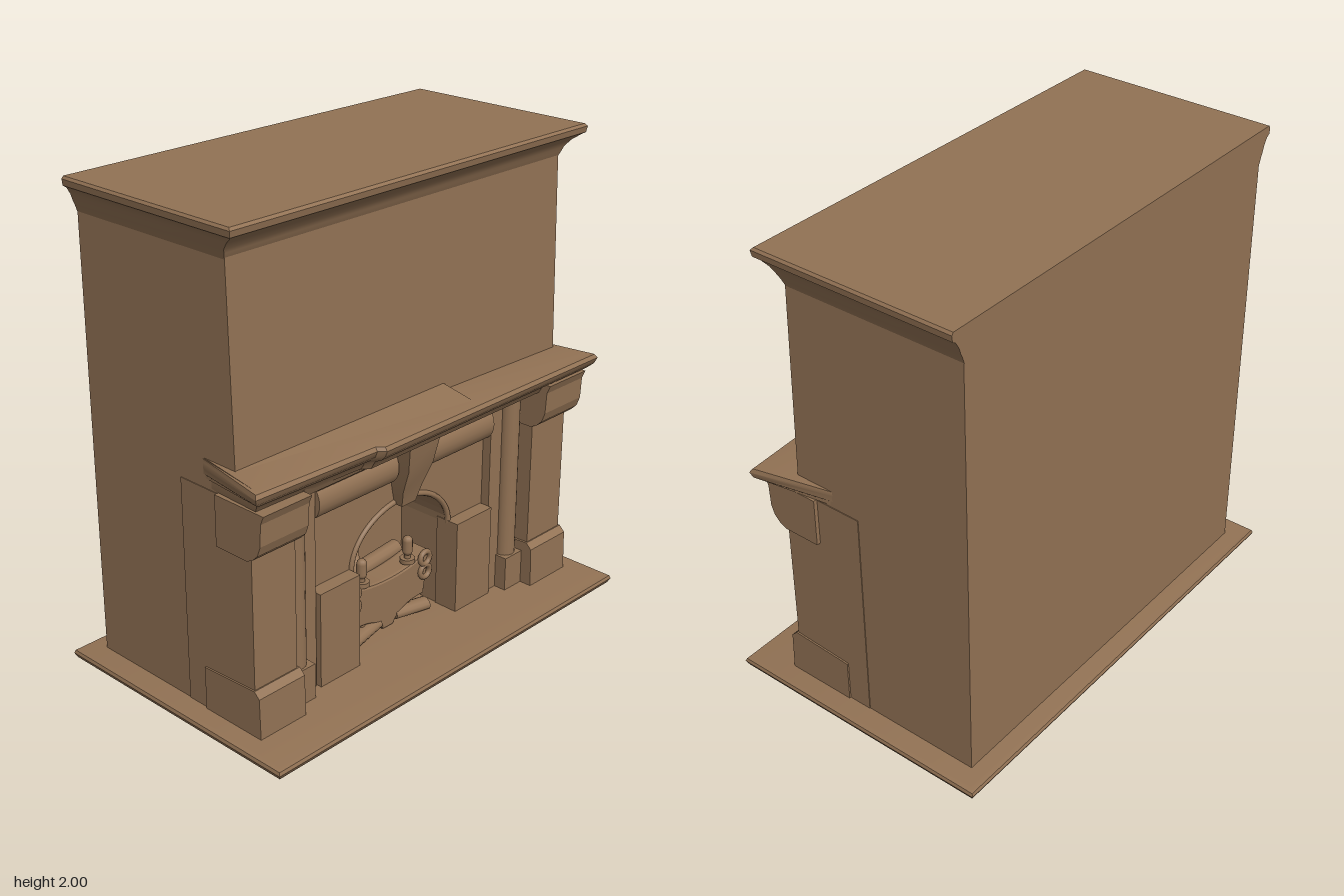
import * as THREE from 'three';
import { toCreasedNormals } from 'three/addons/utils/BufferGeometryUtils.js';

export function createModel() {
  const model = new THREE.Group();
  const stone = new THREE.MeshStandardMaterial({ color: 0x927254 });
  stone.name = 'brown stone';

  const add = (name, geo, x = 0, y = 0, z = 0) => {
    const mesh = new THREE.Mesh(geo, stone);
    mesh.name = name;
    mesh.position.set(x, y, z);
    model.add(mesh);
    return mesh;
  };
  // box given by its limits
  const box = (name, x0, x1, y0, y1, z0, z1) =>
    add(name, new THREE.BoxGeometry(x1 - x0, y1 - y0, z1 - z0), (x0 + x1) / 2, (y0 + y1) / 2, (z0 + z1) / 2);
  // solid from stacked plan outlines (counterclockwise from above), bottom to top
  const loft = (rows) => {
    const n = rows[0].length, pos = rows.flat(2), idx = [];
    for (let r = 0; r < rows.length - 1; r++)
      for (let i = 0; i < n; i++) {
        const a = r * n + i, b = r * n + (i + 1) % n;
        idx.push(a, b, b + n, a, b + n, a + n);
      }
    const t = (rows.length - 1) * n;
    for (let i = 1; i < n - 1; i++) idx.push(0, i + 1, i, t, t + i, t + i + 1);
    const g = new THREE.BufferGeometry();
    g.setAttribute('position', new THREE.Float32BufferAttribute(pos, 3));
    g.setIndex(idx);
    return toCreasedNormals(g, 0.6);
  };
  const rect = (y, x, zb, zf) => [[-x, y, zb], [-x, y, zf], [x, y, zf], [x, y, zb]];
  // side profile of [z, y] points, extruded from x0 to x1
  const sideProfile = (name, points, x0, x1) => {
    const shape = new THREE.Shape(points.map(([z, y]) => new THREE.Vector2(-z, y)));
    const g = new THREE.ExtrudeGeometry(shape, { depth: x1 - x0, bevelEnabled: false, curveSegments: 8 });
    g.rotateY(Math.PI / 2);
    return add(name, g, x0, 0, 0);
  };
  const rod = (name, a, b, r) => {
    const path = new THREE.LineCurve3(new THREE.Vector3(...a), new THREE.Vector3(...b));
    const m = add(name, new THREE.CylinderGeometry(r, r, path.getLength(), 12));
    m.position.copy(path.getPoint(0.5));
    m.quaternion.setFromUnitVectors(new THREE.Vector3(0, 1, 0), path.getTangent(0));
    return m;
  };

  // hearth slab
  add('hearthSlab', loft([
    rect(0.0, 0.955, -0.56, 0.56), rect(0.012, 0.98, -0.585, 0.58),
    rect(0.032, 0.99, -0.595, 0.59), rect(0.045, 0.985, -0.59, 0.585), rect(0.05, 0.965, -0.57, 0.565),
  ]));

  // chimney body with slightly leaning upper front
  sideProfile('chimneyBody', [[-0.51, 0.04], [-0.51, 1.9], [0.27, 1.9], [0.295, 0.95], [0.0, 0.95], [0.0, 0.04]], -0.89, 0.89);

  // crown moulding
  add('crownMoulding', loft([
    [1.86, 0.89, 0.268], [1.885, 0.898, 0.28], [1.9, 0.905, 0.285], [1.93, 0.915, 0.31],
    [1.955, 0.93, 0.345], [1.965, 0.945, 0.36], [1.99, 0.948, 0.365], [2.0, 0.94, 0.355],
  ].map(([y, x, z]) => rect(y, x, -0.512, z))));

  // mantel shelf, sloping down toward +x, with a small step in its front edge
  const shelf = [
    [0.96, 0.9, 0.4], [0.995, 0.91, 0.42], [1.01, 0.935, 0.45], [1.03, 0.96, 0.47],
    [1.055, 0.97, 0.48], [1.07, 0.96, 0.47], [1.075, 0.945, 0.45],
  ].map(([y, x, z]) => [
    [-0.885, y, 0.1], [-x, y, z], [-0.38, y, z + 0.005], [-0.355, y, z + 0.03], [x, y, z - 0.015], [0.885, y, 0.1],
  ].map(([px, py, pz]) => [px, py - 0.025 * px, pz]));
  add('mantelShelf', loft(shelf));
  // gentle rise from the shelf to the wall
  sideProfile('shelfFillet', [[0.28, 1.03], [0.28, 1.1], [0.44, 1.07], [0.44, 1.03]], -0.89, 0.2);

  // surround with arched opening
  const wall = new THREE.Shape();
  wall.moveTo(-0.885, 0.04).lineTo(-0.27, 0.04).lineTo(-0.27, 0.44);
  for (let i = 1; i <= 20; i++) {
    const a = Math.PI * (1 - i / 20);
    wall.lineTo(0.01 + 0.28 * Math.cos(a), 0.44 + 0.21 * Math.sin(a));
  }
  wall.lineTo(0.29, 0.04).lineTo(0.885, 0.04).lineTo(0.885, 0.97).lineTo(-0.885, 0.97);
  add('archedSurround', new THREE.ExtrudeGeometry(wall, { depth: 0.25, bevelEnabled: false }), 0, 0, 0);

  // arch rim
  const rim = [];
  for (let i = 0; i <= 20; i++) {
    const a = Math.PI * (1 - i / 20);
    rim.push(new THREE.Vector3(0.01 + 0.285 * Math.cos(a), 0.44 + 0.215 * Math.sin(a), 0.25));
  }
  add('archRim', new THREE.TubeGeometry(new THREE.CatmullRomCurve3(rim), 40, 0.012, 8));

  // frieze under the shelf
  sideProfile('frieze', [[0.2, 0.91], [0.2, 0.99], [0.41, 0.99], [0.39, 0.95], [0.35, 0.925], [0.33, 0.91]], -0.68, 0.68);
  box('friezePanel', -0.5, 0.5, 0.885, 0.92, 0.2, 0.3);

  for (const s of [-1, 1]) {
    const side = s < 0 ? 'right' : 'left';
    const span = (a, b) => (s < 0 ? [-b, -a] : [a, b]);
    // outer pilaster, plinth and scrolled bracket
    box(side + 'Pilaster', ...span(0.68, 0.893), 0.04, 0.98, 0, 0.365);
    sideProfile(side + 'Plinth', [[0.1, 0.04], [0.1, 0.23], [0.37, 0.245], [0.395, 0.22], [0.4, 0.04]], ...span(0.67, 0.9));
    sideProfile(side + 'Bracket', [[0.2, 0.78], [0.2, 0.985], [0.45, 0.985], [0.435, 0.95], [0.43, 0.86],
      [0.415, 0.82], [0.39, 0.795], [0.36, 0.78]], ...span(0.675, 0.91));
    // inner column and jamb
    add(side + 'Column', new THREE.CylinderGeometry(0.045, 0.045, 0.88, 16), s * 0.62, 0.48, 0.29);
    box(side + 'ColumnPlinth', ...span(0.565, 0.67), 0.04, 0.2, 0.2, 0.345);
    box(side + 'Jamb', ...span(0.505, 0.58), 0.04, 0.92, 0.2, 0.29);
    // low panel beside the opening
    box(side + 'LowPanel', ...span(0.285, 0.5), 0.04, 0.455, 0.2, 0.31);
    // rounded panel above the arch
    const roll = add(side + 'UpperRoll', new THREE.CylinderGeometry(0.075, 0.075, 0.43, 20), s * 0.285, 0.83, 0.25);
    roll.rotation.z = Math.PI / 2;
    roll.scale.z = 0.8;
  }

  // keystone
  add('keystone', loft([
    [0.645, 0.04, 0.29], [0.72, 0.055, 0.31], [0.82, 0.07, 0.35], [0.93, 0.085, 0.37],
  ].map(([y, x, z]) => rect(y, x, 0.2, z))), 0.01);

  // fire basket with sagging rim and feet
  const basket = new THREE.Shape();
  basket.moveTo(-0.2, 0.13);
  basket.quadraticCurveTo(-0.06, 0.13, -0.02, 0.06).lineTo(0.03, 0.06);
  basket.quadraticCurveTo(0.07, 0.13, 0.21, 0.13).lineTo(0.24, 0.3);
  basket.quadraticCurveTo(0.01, 0.23, -0.22, 0.3);
  add('fireBasket', new THREE.ExtrudeGeometry(basket, {
    depth: 0.08, bevelEnabled: true, bevelSize: 0.01, bevelThickness: 0.015, bevelSegments: 2,
  }), 0, 0, 0.1);

  // logs
  rod('backLog', [-0.2, 0.27, 0.07], [0.2, 0.29, 0.05], 0.035);
  rod('crossLog', [-0.12, 0.28, 0.14], [-0.04, 0.36, 0.04], 0.02);
  // andirons with finials, feet and curled arms
  for (const s of [-1, 1]) {
    const x = 0.005 + s * 0.135;
    rod('andironPost', [x, 0.06, 0.17], [x, 0.37, 0.17], 0.014);
    add('andironFinial', new THREE.CapsuleGeometry(0.022, 0.045, 4, 10), x, 0.365, 0.17);
    add('andironCollar', new THREE.CylinderGeometry(0.032, 0.032, 0.02, 12), x, 0.3, 0.17);
    for (const y of [0.23, 0.29])
      add('andironCurl', new THREE.TorusGeometry(0.028, 0.012, 8, 14), 0.005 + s * 0.21, y, 0.2);
    const foot = rod('andironFoot', [0.005 + s * 0.05, 0.085, 0.17], [0.005 + s * 0.22, 0.075, 0.2], 0.025);
    foot.scale.z = 1.3;
  }
  return model;
}
